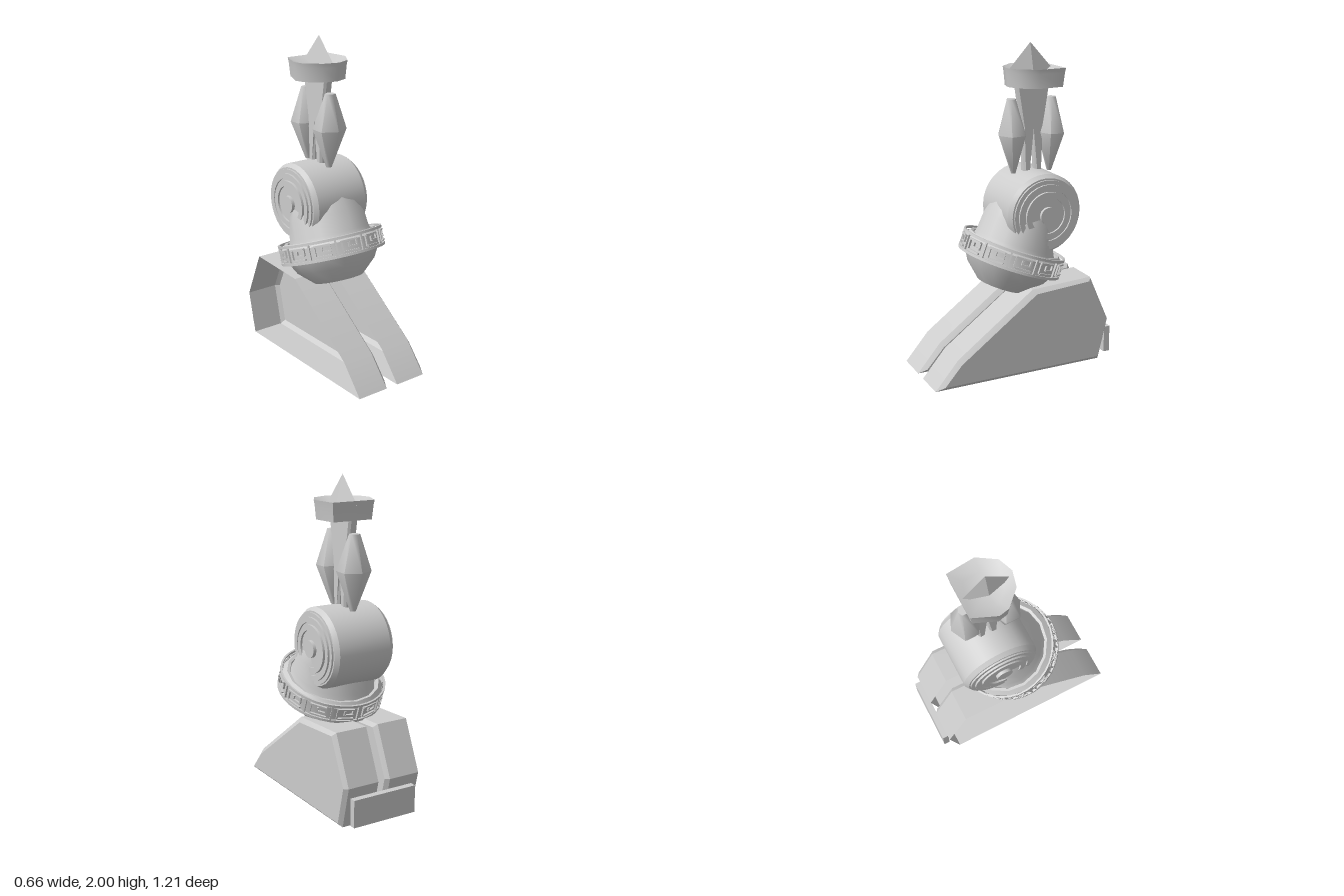
import * as THREE from 'three';
import { toCreasedNormals } from 'three/addons/utils/BufferGeometryUtils.js';
import { ConvexGeometry } from 'three/addons/geometries/ConvexGeometry.js';

const V2 = (list) => list.map(([a, b]) => new THREE.Vector2(a, b));

// Drops the triangles lying wholly in the plane x = x0, leaving that side open
function openSide(geometry, x0) {
  const p = geometry.attributes.position.array;
  const kept = [];
  for (let i = 0; i < p.length; i += 9) {
    if (Math.max(p[i], p[i + 3], p[i + 6]) > x0 + 0.001) kept.push(...p.slice(i, i + 9));
  }
  const open = new THREE.BufferGeometry();
  open.setAttribute('position', new THREE.Float32BufferAttribute(kept, 3));
  return toCreasedNormals(open, 0.5);
}

export function createModel() {
  const model = new THREE.Group();
  const stone = new THREE.MeshStandardMaterial({ color: 0xcccccc, side: THREE.DoubleSide });
  stone.name = 'grey stone';

  const add = (name, geometry, parent = model) => {
    const mesh = new THREE.Mesh(geometry, stone);
    mesh.name = name;
    parent.add(mesh);
    return mesh;
  };
  const lathe = (points, sides, crease = 0.6) =>
    toCreasedNormals(new THREE.LatheGeometry(V2(points), sides), crease);

  // Two hollow wedge feet, chamfered on the +x side and open on the -x side; profiles are [z, y]
  const outer = [[0.603, 0], [0.455, 0.175], [-0.04, 0.54], [-0.44, 0.56], [-0.573, 0.26], [-0.51, 0]];
  const inset = [[0.55, 0.025], [0.44, 0.15], [-0.06, 0.515], [-0.425, 0.54], [-0.553, 0.26], [-0.495, 0.025]];
  for (const [name, x0, x1] of [['leftFoot', 0.027, 0.257], ['rightFoot', -0.26, -0.03]]) {
    const pts = [];
    outer.forEach(([z, y]) => pts.push(new THREE.Vector3(x0, y, z), new THREE.Vector3(x1 - 0.025, y, z)));
    inset.forEach(([z, y]) => pts.push(new THREE.Vector3(x1, y, z)));
    add(name, openSide(new ConvexGeometry(pts), x0));
  }

  // Heel plate joining the feet
  add('heelPlate', new THREE.BoxGeometry(0.43, 0.17, 0.04)).position.set(0, 0.112, -0.585);

  // Tilted bowl with patterned band
  const bowl = new THREE.Group();
  bowl.name = 'bowlGroup';
  bowl.position.set(0, 0.714, -0.013);
  bowl.rotation.x = -0.354;
  model.add(bowl);
  add('bowl', lathe([[0, -0.221], [0.155, -0.214], [0.247, -0.128], [0.285, -0.06], [0.312, -0.055],
    [0.314, 0.03], [0.288, 0.062], [0.27, 0.058], [0.25, -0.04], [0, -0.09]], 16, 0.5), bowl);
  for (const h of [-0.054, 0.054]) {
    add('bandRail', lathe([[0.317, h - 0.008], [0.328, h - 0.008], [0.328, h + 0.008],
      [0.317, h + 0.008], [0.317, h - 0.008]], 36), bowl);
  }

  // Square spirals and dividers round the band: [offset along, height, width, tall]
  const bars = [[-0.084, 0, 0.011, 0.1], [-0.048, 0, 0.01, 0.07], [0, 0.031, 0.1, 0.01],
    [0.048, 0.012, 0.01, 0.045], [0.022, -0.008, 0.055, 0.01], [-0.004, 0.004, 0.01, 0.03],
    [0.005, -0.034, 0.1, 0.01]];
  for (let i = 0; i < 12; i++) {
    for (const [s, h, w, t] of bars) {
      const a = ((i + 0.5) * Math.PI) / 6 + s / 0.322;
      const bar = add('bandPattern', new THREE.BoxGeometry(w, t, 0.012), bowl);
      bar.position.set(0.32 * Math.sin(a), h, 0.32 * Math.cos(a));
      bar.rotation.y = a;
    }
  }

  // Neck rising from the bowl, its back drawn in under the drum
  const neck = new THREE.LatheGeometry(
    V2([[0.27, 0.03], [0.253, 0.08], [0.243, 0.2], [0.212, 0.29], [0.12, 0.33], [0, 0.34]]), 16);
  const np = neck.attributes.position;
  for (let i = 0; i < np.count; i++) {
    const k = THREE.MathUtils.clamp((np.getY(i) - 0.06) / 0.25, 0, 1);
    if (np.getZ(i) < 0) np.setZ(i, np.getZ(i) * (1 - 0.45 * k));
  }
  add('neck', toCreasedNormals(neck, 0.7), bowl);

  // Horizontal drum with stepped rings and a button at each end: [radius, x]
  const half = [[0.245, 0.175], [0.225, 0.202], [0.215, 0.202], [0.215, 0.213], [0.19, 0.213],
    [0.19, 0.225], [0.16, 0.225], [0.16, 0.215], [0.145, 0.215], [0.145, 0.23], [0.112, 0.23],
    [0.112, 0.218], [0.052, 0.218], [0.052, 0.238], [0, 0.238]];
  const drum = add('drum', lathe([...half.map(([r, x]) => [r, -x]).reverse(), ...half], 32));
  drum.rotation.z = Math.PI / 2;
  drum.position.set(0, 0.99, -0.145);

  // Forked stalk, drawn as [z, y] and extruded across x
  const fork = new THREE.Shape(V2([[-0.035, 1.75], [-0.075, 1.5], [-0.085, 1.22], [-0.13, 1.22],
    [-0.146, 1.47], [-0.162, 1.22], [-0.205, 1.22], [-0.215, 1.5], [-0.255, 1.75]]));
  const stalk = add('stalk', new THREE.ExtrudeGeometry(fork, {
    depth: 0.03, bevelThickness: 0.015, bevelSize: 0.01, bevelOffset: -0.01, bevelSegments: 1 }));
  stalk.rotation.y = -Math.PI / 2;
  stalk.position.x = 0.015;

  // Diamond-shaped leaves before and behind the stalk
  for (const s of [1, -1]) {
    const leaf = add(s > 0 ? 'frontLeaf' : 'backLeaf', lathe(
      [[0, -0.24], [0.015, -0.24], [0.09, 0], [0.028, 0.215], [0, 0.215]], 6, 1.1));
    leaf.position.set(s * -0.008, 1.455, -0.145 + s * 0.125);
    leaf.rotation.x = s * 0.03;
    leaf.scale.x = 1.2;
  }

  // Irregular basin: lathe columns pulled onto an eight-sided plan [x, z]
  const plan = [[0.02, 0.035], [0.11, 0], [0.18, -0.11], [0.163, -0.288],
    [-0.12, -0.288], [-0.18, -0.144], [-0.166, -0.08], [-0.077, 0.01]];
  const profile = [[0, 1.745], [0.92, 1.745], [0.97, 1.83], [1, 1.858], [0.6, 1.825], [0, 1.81]];
  const basin = new THREE.LatheGeometry(V2(profile), 8);
  const bp = basin.attributes.position;
  for (let i = 0; i < bp.count; i++) {
    const [x, z] = plan[Math.floor(i / profile.length) % 8];
    const r = profile[i % profile.length][0];
    bp.setX(i, x * r);
    bp.setZ(i, -0.13 + (z + 0.13) * r);
  }
  add('basin', toCreasedNormals(basin, 0.7));

  // Narrow peak standing in the basin
  const peak = add('peak', new THREE.ConeGeometry(1, 0.17, 4, 1).toNonIndexed());
  peak.geometry.computeVertexNormals();
  peak.scale.set(0.042, 1, 0.155);
  peak.position.set(0, 1.915, -0.135);

  return model;
}
